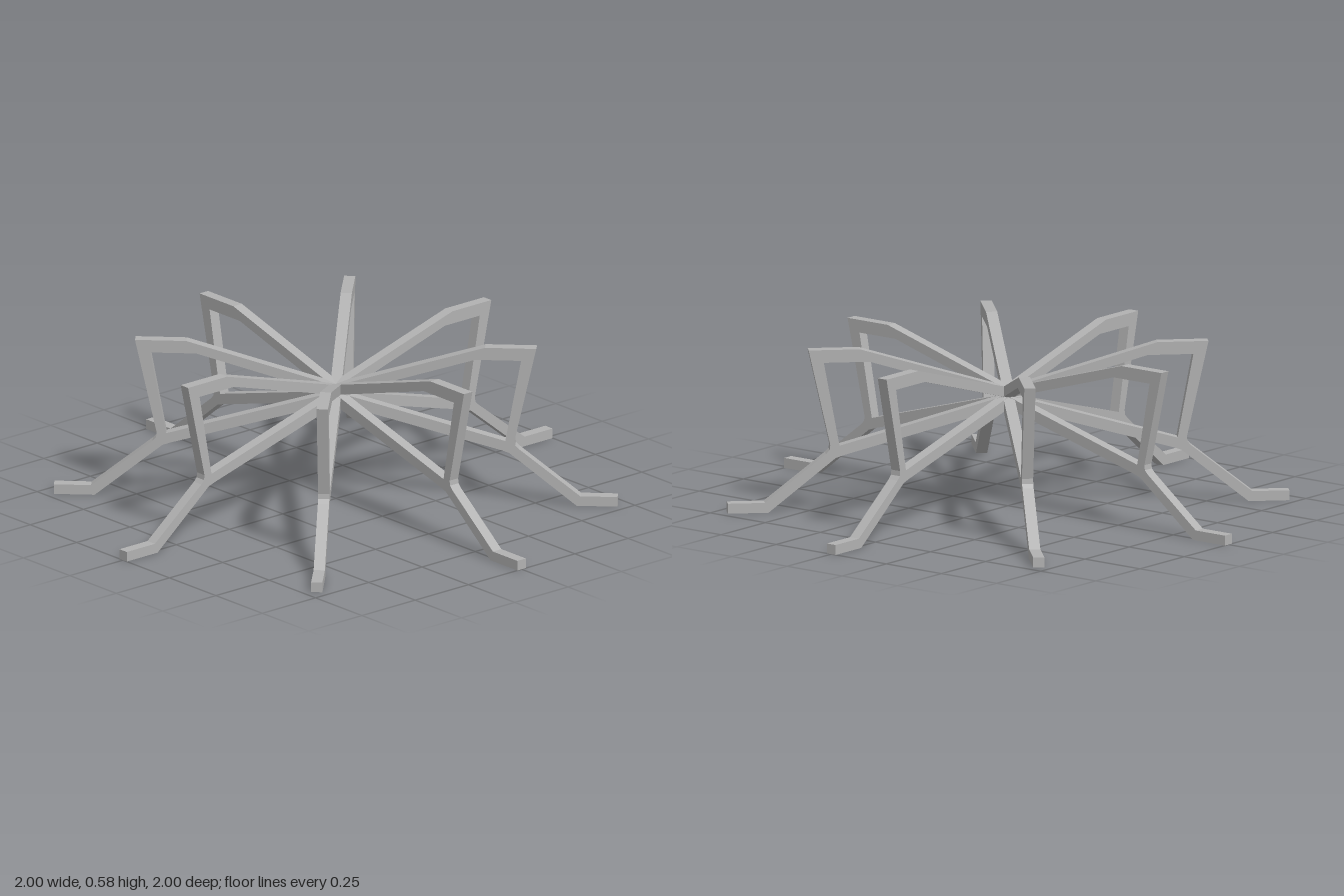
import * as THREE from 'three';

const ARMS = 8;
const WIDTH = 0.04;

// Side profile of one arm: x runs outward from the hub, y is up
function armProfile() {
  const outline = [
    [0, 0.365], [0.585, 0.203], [0.615, 0.193], // underside of lower brace
    [0.855, 0], [1, 0], [1, 0.036], [0.868, 0.036], // leg and foot
    [0.65, 0.208], [0.637, 0.222], [0.635, 0.24], // knee
    [0.712, 0.585], [0.53, 0.585], [0, 0.43], // post and upper beam
  ];
  const opening = [
    [0.025, 0.4], [0.495, 0.539], [0.658, 0.539], [0.602, 0.237],
  ];
  const toPoints = (list) => list.map(([x, y]) => new THREE.Vector2(x, y));
  const shape = new THREE.Shape(toPoints(outline));
  shape.holes.push(new THREE.Path(toPoints(opening)));
  return shape;
}

export function createModel() {
  const model = new THREE.Group();
  model.name = 'radialFrame';

  const metal = new THREE.MeshStandardMaterial({ color: 0xb2b2b2 });
  metal.name = 'grey metal';

  const geometry = new THREE.ExtrudeGeometry(armProfile(), {
    depth: WIDTH,
    bevelEnabled: false,
  });
  geometry.translate(0, 0, -WIDTH / 2);

  // Identical arms spaced evenly around the hub
  for (let i = 0; i < ARMS; i++) {
    const arm = new THREE.Mesh(geometry, metal);
    arm.name = `arm${i + 1}`;
    arm.rotation.y = (i / ARMS) * Math.PI * 2;
    model.add(arm);
  }
  return model;
}
